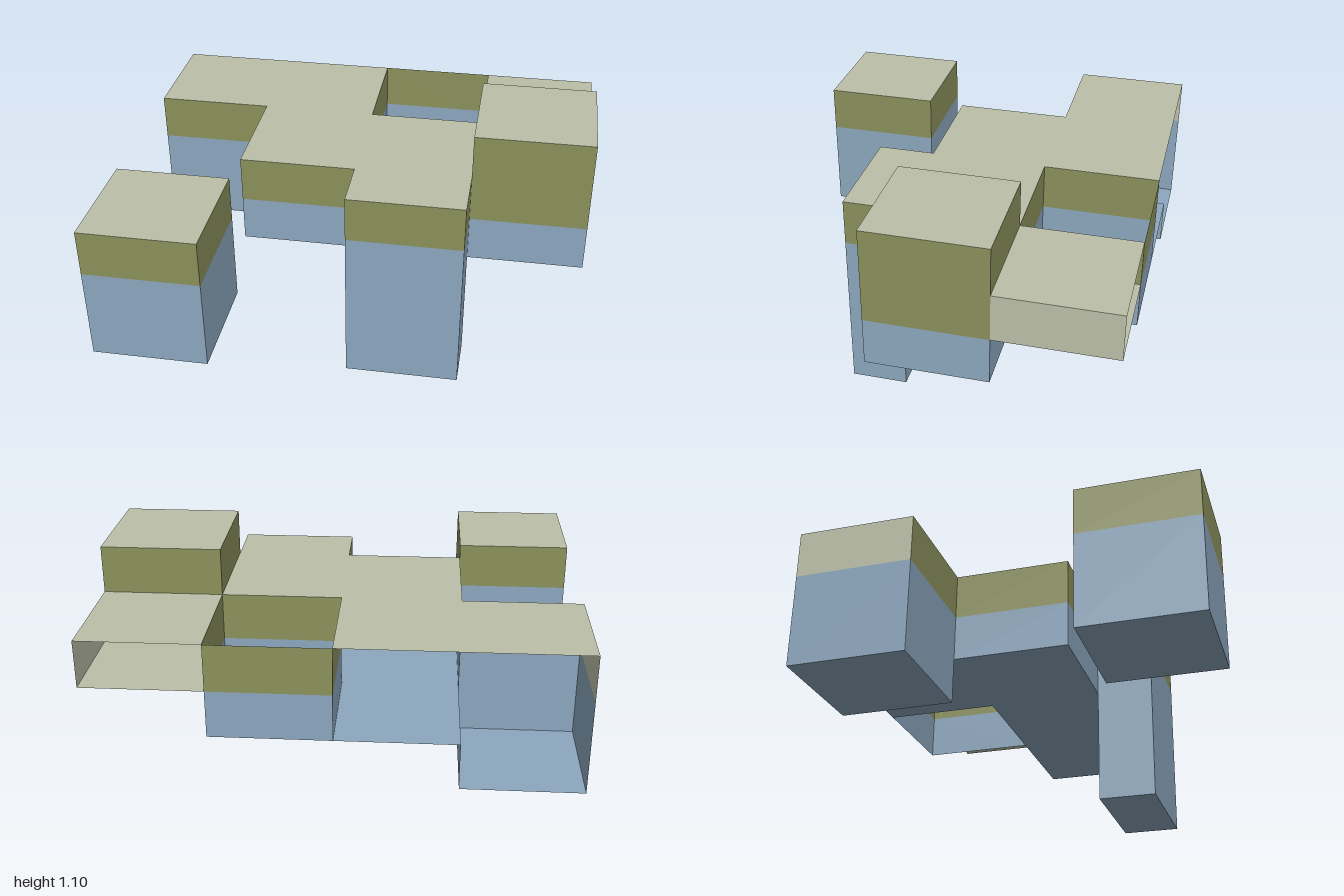
import * as THREE from 'three';

export function createModel() {
  const model = new THREE.Group();
  const material = (name, color) => {
    const m = new THREE.MeshStandardMaterial({ color, side: THREE.DoubleSide });
    m.name = name;
    return m;
  };
  const pale = material('paleTop', 0xbbc0a8);
  const olive = material('oliveBand', 0x8b915c);
  const blue = material('blueBase', 0x8ca7be);

  // Grid lines shared by the blocks, and the height where blue meets olive
  const Z = { back: -0.825, mid: -0.33, front: 0.17, leg: 0.415 };
  const BAND = 0.7, TOP = 0.9, FLOOR = 0.5;

  // Upright sheet facing right of the line (x0,z0) -> (x1,z1)
  function sheet(parent, [x0, z0], [x1, z1], y0, y1, mat, name) {
    const mesh = new THREE.Mesh(
      new THREE.PlaneGeometry(Math.hypot(x1 - x0, z1 - z0), y1 - y0), mat);
    mesh.position.set((x0 + x1) / 2, (y0 + y1) / 2, (z0 + z1) / 2);
    mesh.rotation.y = -Math.atan2(z1 - z0, x1 - x0);
    mesh.name = name;
    parent.add(mesh);
  }

  // Level sheet, facing up or down
  function slab(parent, x0, x1, z0, z1, y, mat, up, name) {
    const mesh = new THREE.Mesh(new THREE.PlaneGeometry(x1 - x0, z1 - z0), mat);
    mesh.rotation.x = up ? -Math.PI / 2 : Math.PI / 2;
    mesh.position.set((x0 + x1) / 2, y, (z0 + z1) / 2);
    mesh.name = name;
    parent.add(mesh);
  }

  // Hollow block; walls maps a side to its [bottom, top, upper material]
  function block(name, x0, x1, z0, z1, floor, top, walls, floorMat = blue) {
    const g = new THREE.Group();
    g.name = name;
    const ends = {
      front: [[x0, z1], [x1, z1]],
      left: [[x1, z1], [x1, z0]],
      back: [[x1, z0], [x0, z0]],
      right: [[x0, z0], [x0, z1]],
    };
    for (const [side, [y0, y1, upper = olive]] of Object.entries(walls)) {
      const [a, b] = ends[side];
      if (y0 < BAND) sheet(g, a, b, y0, Math.min(y1, BAND), blue, side + 'Base');
      if (y1 > BAND) sheet(g, a, b, Math.max(y0, BAND), y1, upper, side + 'Band');
    }
    if (top !== null) slab(g, x0, x1, z0, z1, top, pale, true, 'top');
    if (floor !== null) slab(g, x0, x1, z0, z1, floor, floorMat, false, 'floor');
    model.add(g);
  }

  // Separate block
  const full = [0.3, TOP];
  block('looseBlock', -1, -0.507, 0.33, 0.825, 0.3, TOP,
    { front: full, left: full, back: full, right: full });

  // Deep corner block, open at the back
  block('cornerBlock', -1, -0.5, Z.back, Z.mid, 0.3, TOP,
    { front: full, left: [0.3, FLOOR], right: [0.3, TOP, pale] });

  // Hollow deck running from the back to the middle
  const side = [FLOOR, TOP];
  block('backDeck', -0.5, 0, Z.back, Z.mid, FLOOR, TOP, { left: side });
  block('middleDeck', -0.5, 0, Z.mid, Z.front, FLOOR, TOP, { front: side, right: side });
  block('innerDeck', 0, 0.5, Z.mid, Z.front, FLOOR, TOP, { back: side });

  // Open shaft beside the deck
  block('shaft', 0, 0.5, Z.back, Z.mid, null, null, { back: side, left: side });

  // Tall front leg
  block('frontLeg', 0, 0.5, Z.front, Z.leg, 0, TOP,
    { front: [0, TOP], left: [0, TOP], right: [0, TOP], back: [0, FLOOR] });

  // Raised block
  block('raisedBlock', 0.5, 1, Z.mid, Z.front, FLOOR, 1.1,
    { front: [FLOOR, 1.1], left: [FLOOR, 1.1], back: [FLOOR, 1.1], right: [TOP, 1.1] });

  // Thin shelf, open at the back
  block('shelf', 0.5, 1, Z.back, Z.mid, BAND, TOP, { left: [BAND, TOP, pale] }, pale);

  return model;
}
